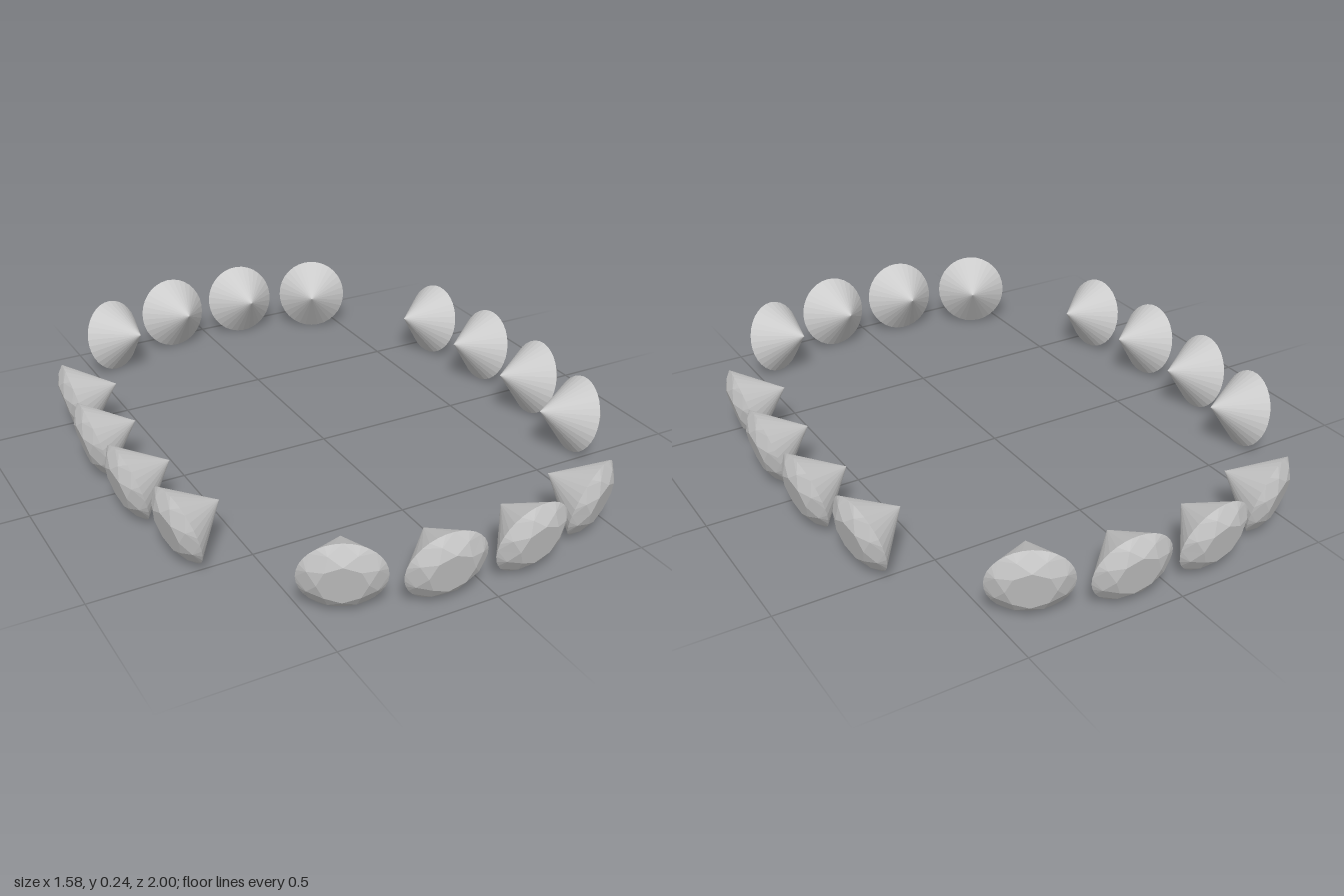
import * as THREE from 'three';

const R = 0.1245;      // girdle radius
const TILT = 0.245;    // stones lean slightly downwards

// Round brilliant with its axis on z: table towards +z, point towards -z.
function brilliantGeometry() {
  const pos = [];
  const at = (r, turn, z) => {
    const a = turn * Math.PI / 4;
    return [r * Math.cos(a), r * Math.sin(a), z];
  };
  const tri = (a, b, c) => pos.push(...a, ...b, ...c);
  const table = i => at(0.07, i, 0.036);
  const star = i => at(0.103, i + 0.5, 0.0194);
  const girdle = i => at(R, i, 0);
  const centre = [0, 0, 0.036], point = [0, 0, -0.142];

  for (let i = 0; i < 8; i++) {
    tri(centre, table(i), table(i + 1));            // table
    tri(table(i), star(i), table(i + 1));           // star facet
    tri(table(i), star(i - 1), girdle(i));          // kite facet
    tri(table(i), girdle(i), star(i));
    for (let k = 0; k < 4; k++) {
      const g0 = girdle(i + k / 4), g1 = girdle(i + (k + 1) / 4);
      tri(star(i), g0, g1);                         // upper girdle facets
      tri(point, g1, g0);                           // pavilion
    }
  }
  const geo = new THREE.BufferGeometry();
  geo.setAttribute('position', new THREE.Float32BufferAttribute(pos, 3));
  geo.computeVertexNormals();
  return geo;
}

export function createModel() {
  const model = new THREE.Group();
  model.name = 'gemstoneRing';
  const geo = brilliantGeometry();
  const mat = new THREE.MeshStandardMaterial({ color: 0xcccccc, flatShading: true });

  // One quarter of the ring: x, z and heading (0 = front, 90 = side)
  const quarter = [
    ['endInner', 0.14, 0.949, 5],
    ['endOuter', 0.41, 0.862, 27],
    ['sideOuter', 0.697, 0.432, 83],
    ['sideInner', 0.736, 0.148, 87],
  ];
  for (const sx of [1, -1]) for (const sz of [1, -1]) {
    for (const [name, x, z, deg] of quarter) {
      const a = THREE.MathUtils.degToRad(deg);
      const gem = new THREE.Mesh(geo, mat);
      gem.name = `${name}Gem${sz > 0 ? 'Front' : 'Back'}${sx > 0 ? 'Left' : 'Right'}`;
      gem.position.set(sx * x, R * Math.cos(TILT), sz * z);
      gem.rotation.order = 'YXZ';
      gem.rotation.set(TILT, Math.atan2(sx * Math.sin(a), sz * Math.cos(a)), 0);
      model.add(gem);
    }
  }
  return model;
}
